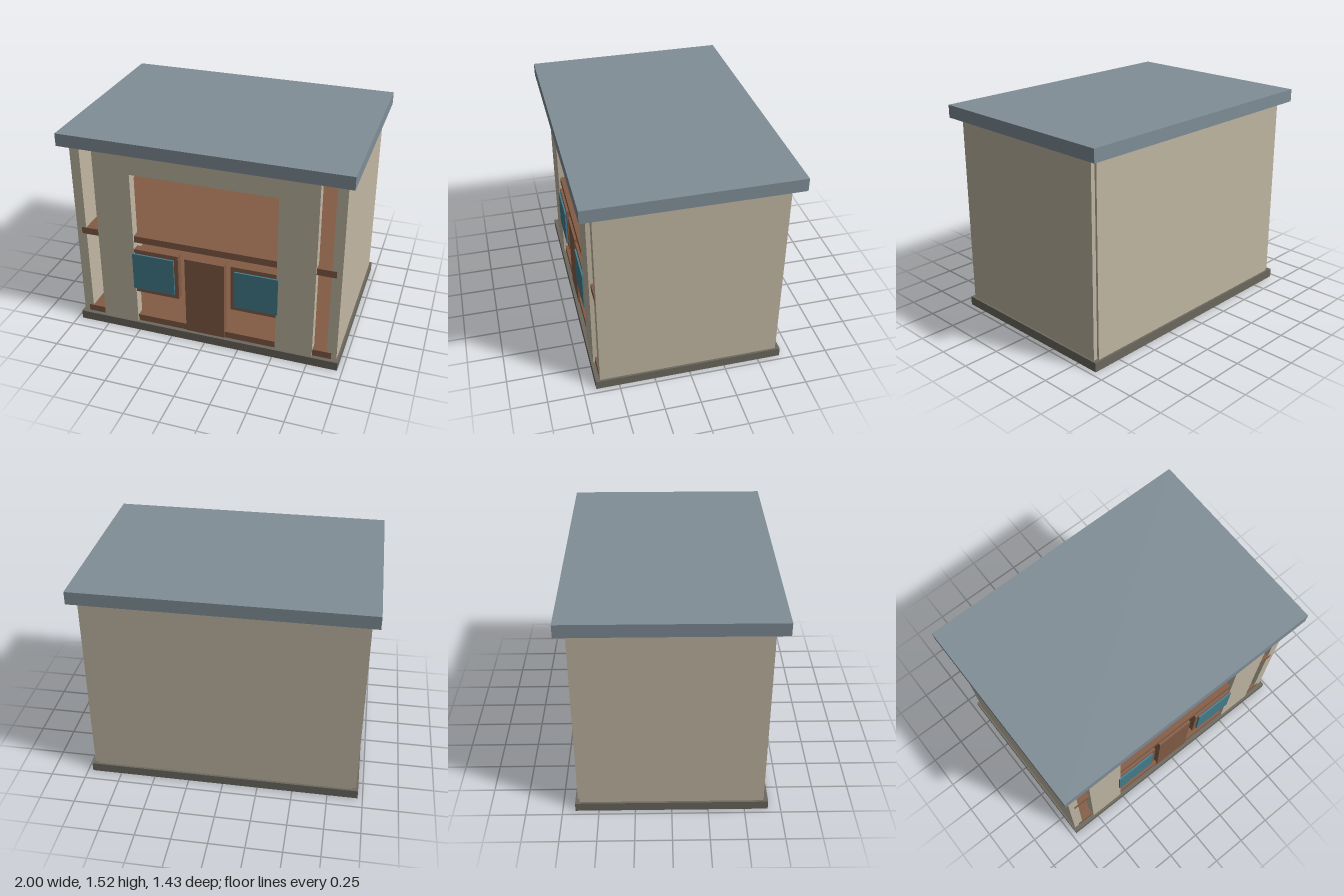
import * as THREE from 'three';

const mat = (name, color) => {
  const m = new THREE.MeshStandardMaterial({ color });
  m.name = name;
  return m;
};

export function createModel() {
  const group = new THREE.Group();
  const plaster = mat('beige plaster', 0xc1b7a3);
  const slate = mat('slate roof', 0x808e97);
  const stone = mat('dark stone', 0x6c685e);
  const wood = mat('brown wood', 0x835c45);
  const glass = mat('blue glass', 0x457e8e);

  // Box given by its extents on each axis
  const box = (name, material, [x0, x1], [y0, y1], [z0, z1]) => {
    const mesh = new THREE.Mesh(new THREE.BoxGeometry(x1 - x0, y1 - y0, z1 - z0), material);
    mesh.position.set((x0 + x1) / 2, (y0 + y1) / 2, (z0 + z1) / 2);
    mesh.name = name;
    group.add(mesh);
  };
  const wallY = [0.065, 1.43];

  box('base', stone, [-0.965, 0.965], [0, 0.065], [-0.662, 0.662]);
  box('roof', slate, [-1, 1], [1.43, 1.52], [-0.713, 0.713]);
  box('backWall', plaster, [-0.92, 0.92], wallY, [-0.646, -0.576]);

  // Front wall: two piers joined by a header, open to the ground in the middle
  const facade = new THREE.Shape([
    [-0.78, 0.065], [-0.515, 0.065], [-0.515, 1.26], [0.515, 1.26],
    [0.515, 0.065], [0.78, 0.065], [0.78, 1.43], [-0.78, 1.43],
  ].map(([x, y]) => new THREE.Vector2(x, y)));
  const frontWall = new THREE.Mesh(
    new THREE.ExtrudeGeometry(facade, { depth: 0.07, bevelEnabled: false }), plaster);
  frontWall.position.z = 0.576;
  frontWall.name = 'frontWall';
  group.add(frontWall);

  // Floors, just proud of the side wall ends
  box('groundFloor', wood, [-0.913, 0.913], [0.065, 0.115], [-0.63, 0.633]);
  box('upperFloor', wood, [-0.913, 0.913], [0.73, 0.78], [-0.63, 0.633]);

  box('door', wood, [-0.143, 0.143], [0.066, 0.667], [0.585, 0.64]);

  // Side walls and windows, mirrored
  for (const [side, s] of [['left', 1], ['right', -1]]) {
    const span = (a, b) => (s > 0 ? [a, b] : [-b, -a]);
    box(side + 'SideWall', plaster, span(0.88, 0.95), wallY, [-0.631, 0.631]);
    box(side + 'WindowFrame', wood, span(0.19, 0.56), [0.327, 0.678], [0.588, 0.642]);
    box(side + 'WindowPane', glass, span(0.22, 0.528), [0.36, 0.645], [0.641, 0.654]);
  }

  return group;
}
